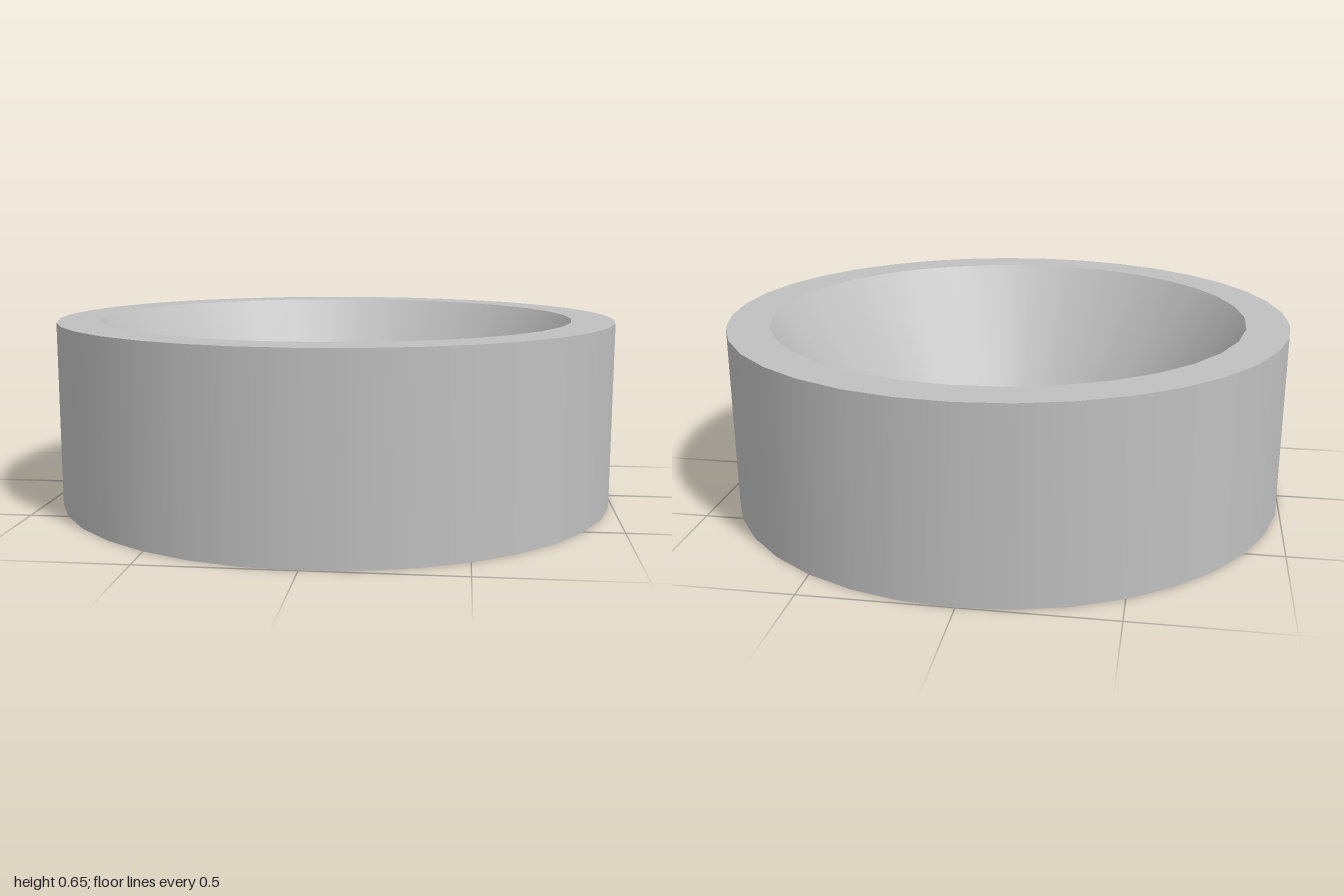
import * as THREE from 'three';

// Band of triangles joining two circles [radius, y, sides], with smooth normals around the axis.
function band([r0, y0, n0], [r1, y1, n1]) {
  const len = Math.hypot(r1 - r0, y1 - y0);
  const nr = (y1 - y0) / len, ny = (r0 - r1) / len;
  const pos = [], nor = [], index = [];
  for (const [r, y, n] of [[r0, y0, n0], [r1, y1, n1]]) {
    for (let i = 0; i <= n; i++) {
      const a = (i / n) * Math.PI * 2, c = Math.cos(a), s = Math.sin(a);
      pos.push(r * c, y, r * s);
      nor.push(nr * c, ny, nr * s);
    }
  }
  // Walk both circles together, always advancing the one that lags behind
  const start = n0 + 1;
  let i = 0, j = 0;
  while (i < n0 || j < n1) {
    if (j >= n1 || (i < n0 && (i + 1) / n0 <= (j + 1) / n1)) {
      index.push(i, start + j, i + 1);
      i++;
    } else {
      index.push(i, start + j, start + j + 1);
      j++;
    }
  }
  const g = new THREE.BufferGeometry();
  g.setAttribute('position', new THREE.Float32BufferAttribute(pos, 3));
  g.setAttribute('normal', new THREE.Float32BufferAttribute(nor, 3));
  g.setIndex(index);
  return g;
}

export function createModel() {
  const group = new THREE.Group();
  group.name = 'countersunkRing';
  const metal = new THREE.MeshStandardMaterial({ color: 0xc0c0c0 });
  metal.name = 'greyMetal';

  // Closed profile: radius, height and number of sides of each edge circle
  const profile = [
    [0.46, 0, 20],
    [1, 0, 36],
    [1, 0.65, 36],
    [0.85, 0.65, 33],
    [0.46, 0.08, 20],
  ];
  const names = ['bottomFace', 'outerWall', 'topRim', 'countersink', 'boreWall'];

  names.forEach((name, k) => {
    const mesh = new THREE.Mesh(band(profile[k], profile[(k + 1) % profile.length]), metal);
    mesh.name = name;
    group.add(mesh);
  });
  return group;
}
